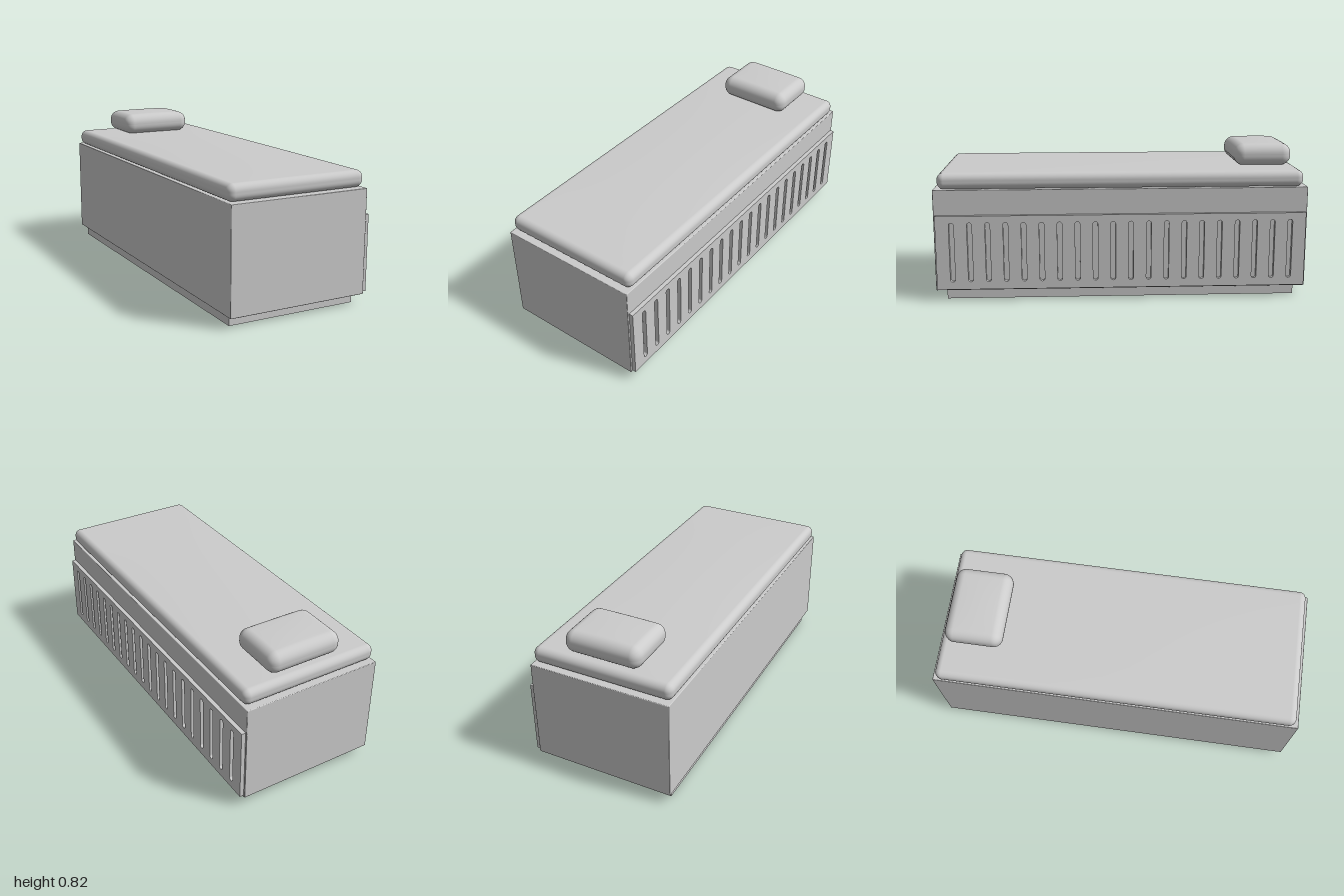
import * as THREE from 'three';
import { mergeVertices } from 'three/addons/utils/BufferGeometryUtils.js';
import { RoundedBoxGeometry } from 'three/addons/geometries/RoundedBoxGeometry.js';

const material = new THREE.MeshStandardMaterial({ color: 0xcccccc });

function part(name, geometry, x, y, z) {
  const mesh = new THREE.Mesh(geometry, material);
  mesh.name = name;
  mesh.position.set(x, y, z);
  return mesh;
}

// Rounded box with a finely divided rim and a gently domed top
function cushion(w, h, d, r, crown) {
  const rim = 6, inner = 12, n = rim * 2 + inner;
  const geo = new THREE.BoxGeometry(1, 1, 1, n, n, n);
  geo.deleteAttribute('uv');
  geo.deleteAttribute('normal');
  const half = new THREE.Vector3(w / 2, h / 2, d / 2);
  const core = half.clone().subScalar(r);
  const coreMin = core.clone().negate();
  // Spread the grid lines: the outer ones over the rounding, the rest over the flat
  const spread = (t, c) => {
    const i = Math.round(Math.abs(t) * n);
    const k = inner / 2;
    const v = i <= k ? (c * i) / k : c + r * Math.tan(((i - k) / rim) * Math.PI / 4);
    return Math.sign(t) * v;
  };
  const pos = geo.attributes.position;
  const p = new THREE.Vector3(), q = new THREE.Vector3();
  for (let i = 0; i < pos.count; i++) {
    p.fromBufferAttribute(pos, i);
    p.set(spread(p.x, core.x), spread(p.y, core.y), spread(p.z, core.z));
    q.copy(p).clamp(coreMin, core);
    p.sub(q).setLength(r).add(q);
    if (p.y > 0) {
      const u = p.x / half.x, v = p.z / half.z;
      p.y += crown * (p.y / half.y) * (1 - u * u) * (1 - v * v);
    }
    pos.setXYZ(i, p.x, p.y, p.z);
  }
  const merged = mergeVertices(geo, 1e-5);
  merged.computeVertexNormals();
  return merged;
}

// Side panel with a row of round-ended slots
function slottedPanel(length, bottom, top, thickness) {
  const shape = new THREE.Shape();
  shape.moveTo(-length / 2, bottom);
  shape.lineTo(length / 2, bottom);
  shape.lineTo(length / 2, top);
  shape.lineTo(-length / 2, top);
  shape.closePath();
  const count = 20, pitch = 0.0953, r = 0.013, low = 0.107, high = 0.43;
  for (let i = 0; i < count; i++) {
    const x = (i - (count - 1) / 2) * pitch;
    const slot = new THREE.Path();
    slot.absarc(x, high - r, r, 0, Math.PI, false);
    slot.absarc(x, low + r, r, Math.PI, Math.PI * 2, false);
    slot.closePath();
    shape.holes.push(slot);
  }
  const geo = new THREE.ExtrudeGeometry(shape, { depth: thickness, bevelEnabled: false, curveSegments: 8 });
  return geo.rotateY(Math.PI / 2);
}

export function createModel() {
  const bed = new THREE.Group();
  bed.name = 'bed';

  // Recessed plinth and box body
  bed.add(part('plinth', new THREE.BoxGeometry(0.718, 0.06, 1.89), -0.016, 0.03, 0));
  bed.add(part('body', new RoundedBoxGeometry(0.771, 0.548, 2, 2, 0.004), -0.0115, 0.329, 0));

  // Slotted panel on the left side
  bed.add(part('slottedPanel', slottedPanel(1.98, 0.065, 0.467, 0.022), 0.374, 0, 0));

  // Mattress and pillow
  bed.add(part('mattress', cushion(0.771, 0.087, 1.956, 0.036, 0.008), -0.0115, 0.6465, 0));
  bed.add(part('pillow', cushion(0.42, 0.118, 0.314, 0.052, 0.007), 0, 0.75, -0.79));

  return bed;
}
